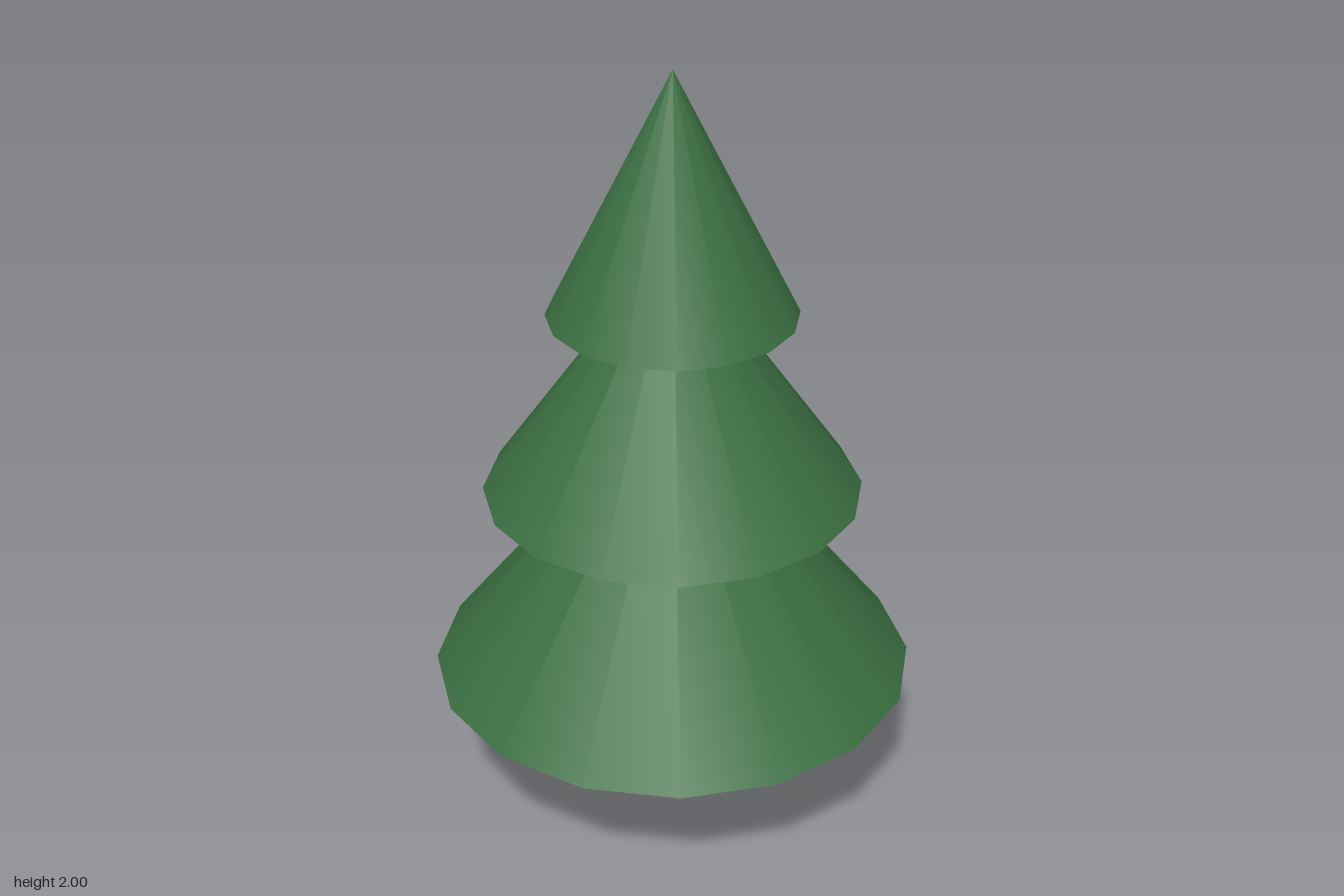
import * as THREE from 'three';

export function createModel() {
  const tree = new THREE.Group();
  tree.name = 'pineTree';

  const needles = new THREE.MeshStandardMaterial({ color: 0x3b7042 });
  needles.name = 'needle green';
  const bark = new THREE.MeshStandardMaterial({ color: 0x7a563e });
  bark.name = 'bark brown';

  // Trunk: round-ended post whose top is hidden inside the lowest tier
  const trunkRadius = 0.06;
  const trunkLength = 0.5;
  const trunk = new THREE.Mesh(
    new THREE.CapsuleGeometry(trunkRadius, trunkLength - 2 * trunkRadius, 8, 20), bark);
  trunk.name = 'trunk';
  trunk.position.y = trunkLength / 2;
  tree.add(trunk);

  // Foliage: three overlapping 16-sided cones
  const tiers = [
    { name: 'lowerFoliage', radius: 0.617, base: 0.4, tip: 1.185 },
    { name: 'middleFoliage', radius: 0.477, base: 0.908, tip: 1.585 },
    { name: 'upperFoliage', radius: 0.309, base: 1.387, tip: 2 },
  ];
  for (const { name, radius, base, tip } of tiers) {
    const cone = new THREE.Mesh(new THREE.ConeGeometry(radius, tip - base, 16), needles);
    cone.name = name;
    cone.position.y = (base + tip) / 2;
    tree.add(cone);
  }

  return tree;
}
